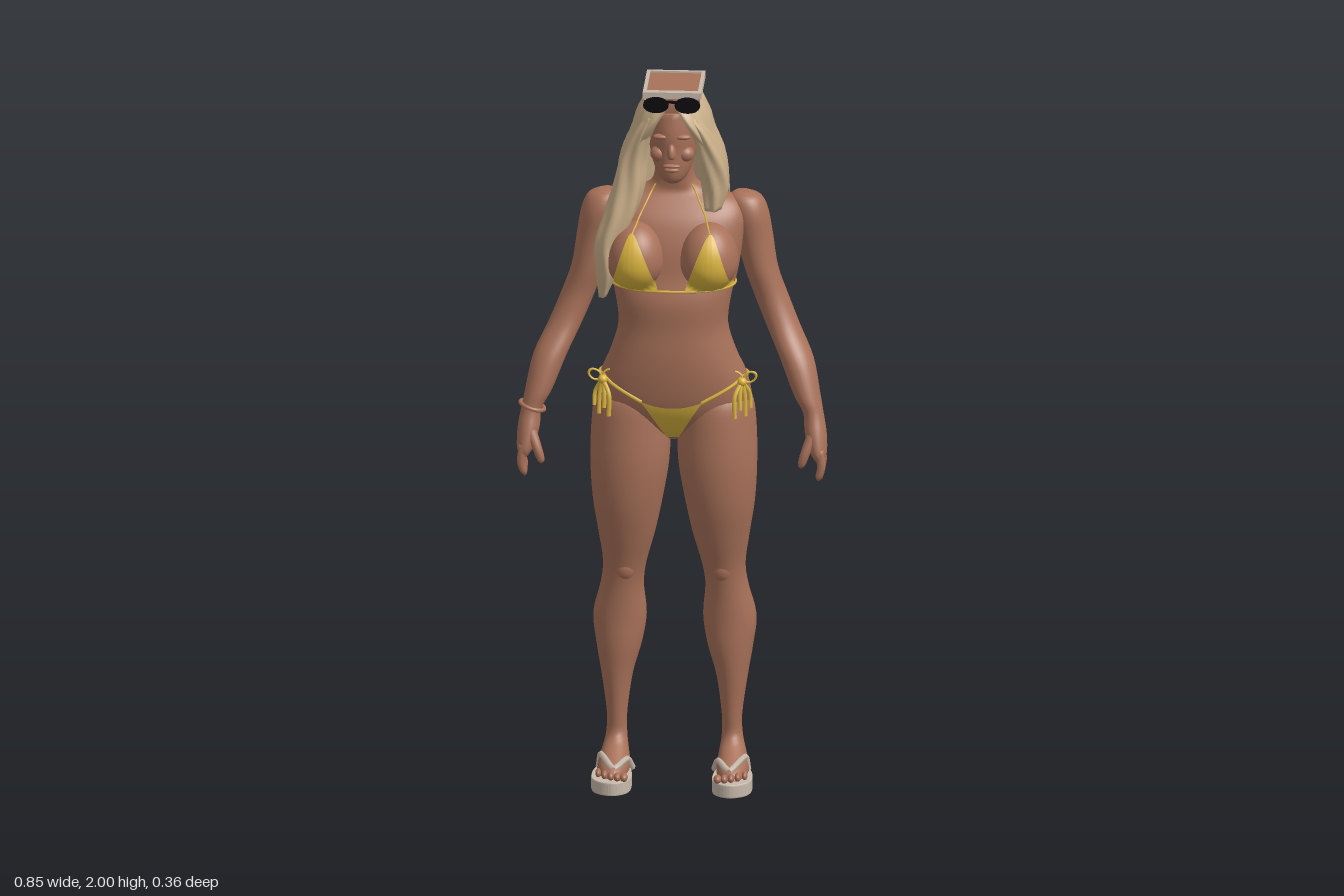
import * as THREE from 'three';

const V = (x, y, z) => new THREE.Vector3(x, y, z);
const mat = (name, color, side = THREE.FrontSide) => {
  const m = new THREE.MeshStandardMaterial({ color, side });
  m.name = name;
  return m;
};
const pw = (v, p) => Math.sign(v) * Math.abs(v) ** p;

// Skin over closed rings listed from bottom to top, with both ends closed
function skinRings(rows, n, point) {
  const pos = [], idx = [];
  for (let i = 0; i <= rows; i++)
    for (let j = 0; j < n; j++) pos.push(...point(i / rows, j));
  for (let i = 0; i < rows; i++)
    for (let j = 0; j < n; j++) {
      const a = i * n + j, b = i * n + (j + 1) % n;
      idx.push(a, b, b + n, a, b + n, a + n);
    }
  const top = rows * n;
  for (let j = 0; j < n / 2 - 1; j++) {
    const k = n - 1 - j;
    idx.push(j, k, j + 1, j + 1, k, k - 1);
    idx.push(top + j, top + j + 1, top + k, top + j + 1, top + k - 1, top + k);
  }
  const g = new THREE.BufferGeometry();
  g.setAttribute('position', new THREE.Float32BufferAttribute(pos, 3));
  g.setIndex(idx);
  g.computeVertexNormals();
  return g;
}

// Loft through horizontal sections [x, y, z, rx, rz]; p < 1 squares the section
function loft(sections, { n = 32, p = 1, ripple = 0, steps = 4 } = {}) {
  const s = sections[0][1] < sections.at(-1)[1] ? sections : [...sections].reverse();
  const path = new THREE.CatmullRomCurve3(s.map(q => V(q[0], q[1], q[2])), false, 'catmullrom');
  const size = new THREE.CatmullRomCurve3(s.map(q => V(q[3], q[4], 0)), false, 'catmullrom');
  return skinRings((s.length - 1) * steps, n, (t, j) => {
    const c = path.getPoint(t), r = size.getPoint(t), a = j / n * Math.PI * 2;
    const k = 1 + ripple * Math.sin(a * 5 + t * 9);
    return [c.x + r.x * k * pw(Math.sin(a), p), c.y, c.z + r.y * k * pw(Math.cos(a), p)];
  });
}

export function createModel() {
  const root = new THREE.Group();
  const skin = mat('skin', 0xa87159);
  const blonde = mat('blondeHair', 0xcbb08a, THREE.DoubleSide);
  const yellow = mat('yellowFabric', 0xd9b33e, THREE.DoubleSide);
  const pale = mat('paleSandal', 0xc8b9ab);
  const black = mat('blackLens', 0x0c0c0e);

  const add = (name, geo, m) => {
    const mesh = new THREE.Mesh(geo, m);
    mesh.name = name;
    root.add(mesh);
    return mesh;
  };
  const ball = (name, m, x, y, z, rx, ry, rz, up = 1) => {
    const g = new THREE.SphereGeometry(1, 32, 24), q = g.attributes.position;
    for (let i = 0; i < q.count; i++) if (q.getY(i) > 0) q.setY(i, q.getY(i) * up);
    g.scale(rx, ry, rz).translate(x, y, z);
    g.computeVertexNormals();
    return add(name, g, m);
  };
  const tube = (name, pts, r, m) =>
    add(name, new THREE.TubeGeometry(new THREE.CatmullRomCurve3(pts), pts.length * 4, r, 6), m);

  // Torso and neck: [y, front z, back z, half width]
  const trunk = [[0.98, 0.03, -0.05, 0.02], [1.01, 0.07, -0.085, 0.11], [1.05, 0.1, -0.1, 0.19],
    [1.1, 0.122, -0.11, 0.212], [1.17, 0.135, -0.1, 0.2], [1.24, 0.14, -0.075, 0.172],
    [1.32, 0.138, -0.06, 0.15], [1.4, 0.14, -0.068, 0.158], [1.47, 0.122, -0.088, 0.176],
    [1.55, 0.11, -0.1, 0.188], [1.62, 0.085, -0.1, 0.195], [1.665, 0.05, -0.085, 0.17],
    [1.69, 0.03, -0.07, 0.1], [1.72, 0.032, -0.06, 0.058], [1.8, 0.045, -0.055, 0.052]];
  const rings = list => list.map(([y, f, b, w]) => [0, y, (f + b) / 2, w, (f - b) / 2]);
  const body = [add('torso', loft(rings(trunk), { n: 48, p: 0.92 }), skin)];

  // Head, nose, lips, cheeks and brow
  add('head', loft(rings([[1.733, 0.085, 0.02, 0.02], [1.75, 0.113, -0.01, 0.038],
    [1.785, 0.121, -0.05, 0.055], [1.83, 0.12, -0.08, 0.066], [1.88, 0.122, -0.09, 0.071],
    [1.94, 0.112, -0.09, 0.073]])), skin);
  ball('nose', skin, 0, 1.828, 0.125, 0.013, 0.012, 0.02, 2.6);
  ball('upperLip', skin, 0, 1.795, 0.12, 0.024, 0.006, 0.009);
  ball('lowerLip', skin, 0, 1.783, 0.118, 0.02, 0.007, 0.01);
  for (const s of [1, -1]) {
    ball('cheek', skin, s * 0.036, 1.822, 0.09, 0.024, 0.022, 0.024);
    ball('brow', skin, s * 0.028, 1.876, 0.109, 0.024, 0.008, 0.013);
  }

  // Flat crown with a pale rim
  add('crown', loft([[0, 1.9, 0.008, 0.07, 0.085], [0, 1.95, 0.008, 0.073, 0.093],
    [0, 1.985, 0.003, 0.076, 0.094]], { n: 48, p: 0.4 }), skin);
  add('crownTop', new THREE.BoxGeometry(0.148, 0.012, 0.18).translate(0, 1.989, 0.002), skin);
  const rect = (C, x, z0, z1) => new C([[-x, z0], [x, z0], [x, z1], [-x, z1]].map(q => new THREE.Vector2(...q)));
  const rim = rect(THREE.Shape, 0.08, -0.102, 0.094);
  rim.holes.push(rect(THREE.Path, 0.07, -0.082, 0.084));
  add('crownRim', new THREE.ExtrudeGeometry(rim, { depth: 0.018, bevelEnabled: false })
    .rotateX(-Math.PI / 2).translate(0, 1.982, 0), pale);

  // Sunglasses on the front and the back of the crown
  for (const [z, name] of [[0.114, 'frontSunglasses'], [-0.1, 'backSunglasses']]) {
    for (const s of [1, -1])
      add(name + 'Lens', new THREE.CylinderGeometry(1, 1, 0.009, 24).rotateX(Math.PI / 2)
        .scale(0.035, 0.022, 1).translate(s * 0.043, 1.968, z), black);
    add(name + 'Bar', new THREE.BoxGeometry(0.15, 0.006, 0.008).translate(0, 1.977, z), black);
  }

  // Hair shell, open around the face: [y, z, half width, depth, half opening angle]
  const hair = [[1.43, -0.1, 0.12, 0.062, 1.85], [1.5, -0.083, 0.142, 0.09, 1.75],
    [1.62, -0.07, 0.152, 0.11, 1.55], [1.72, -0.04, 0.152, 0.137, 1.25], [1.8, -0.015, 0.14, 0.152, 1],
    [1.87, 0, 0.114, 0.15, 0.72], [1.92, 0.004, 0.1, 0.128, 0.4], [1.962, 0.005, 0.08, 0.104, 0.12]];
  const hairA = new THREE.CatmullRomCurve3(hair.map(h => V(h[0], h[1], h[2])), false, 'catmullrom');
  const hairB = new THREE.CatmullRomCurve3(hair.map(h => V(h[3], h[4], 0)), false, 'catmullrom');
  const half = 56;
  add('backHair', skinRings(42, half * 2, (t, j) => {
    const a = hairA.getPoint(t), b = hairB.getPoint(t), inner = j >= half;
    const u = (inner ? half * 2 - 1 - j : j) / (half - 1);
    const ang = b.y + u * (Math.PI * 2 - 2 * b.y);
    const k = inner ? 0.72 : 1 + 0.014 * Math.sin(ang * 17 + t * 5);
    return [-0.008 * (1 - t) + a.z * k * Math.sin(ang), a.x, a.y + b.x * k * Math.cos(ang)];
  }), blonde);

  // Wavy locks beside the face; the right one falls over the chest
  const wavy = { n: 40, ripple: 0.1, steps: 6 };
  add('rightLock', loft([[-0.055, 1.925, 0.085, 0.015, 0.02], [-0.08, 1.88, 0.075, 0.022, 0.03],
    [-0.107, 1.8, 0.055, 0.036, 0.045], [-0.12, 1.72, 0.06, 0.042, 0.048], [-0.143, 1.64, 0.075, 0.042, 0.046],
    [-0.175, 1.56, 0.085, 0.034, 0.042], [-0.18, 1.48, 0.08, 0.028, 0.038],
    [-0.192, 1.4, 0.07, 0.01, 0.014]], wavy), blonde);
  add('leftLock', loft([[0.055, 1.925, 0.085, 0.015, 0.02], [0.08, 1.88, 0.075, 0.022, 0.03],
    [0.104, 1.8, 0.05, 0.034, 0.045], [0.115, 1.72, 0.035, 0.036, 0.045],
    [0.108, 1.65, 0.045, 0.022, 0.03]], wavy), blonde);

  // Limbs, built for the left and mirrored
  const arm = [[0.185, 1.678, -0.035, 0.02, 0.02], [0.193, 1.662, -0.035, 0.045, 0.045],
    [0.204, 1.62, -0.037, 0.052, 0.06], [0.217, 1.55, -0.04, 0.051, 0.06], [0.236, 1.46, -0.036, 0.046, 0.056],
    [0.264, 1.38, -0.034, 0.046, 0.052], [0.298, 1.3, -0.014, 0.046, 0.051], [0.337, 1.22, 0.026, 0.046, 0.055],
    [0.366, 1.13, 0.06, 0.037, 0.047], [0.385, 1.08, 0.077, 0.028, 0.036], [0.392, 1.03, 0.09, 0.03, 0.042],
    [0.4, 0.98, 0.1, 0.024, 0.044], [0.404, 0.955, 0.102, 0.014, 0.036]];
  const leg = [[0.1, 1.14, 0.01, 0.06, 0.07], [0.112, 1.1, 0.005, 0.1, 0.1], [0.117, 1.03, 0.003, 0.108, 0.112],
    [0.12, 0.92, 0.018, 0.108, 0.102], [0.126, 0.81, 0.015, 0.096, 0.095], [0.129, 0.71, 0.008, 0.078, 0.077],
    [0.135, 0.62, -0.004, 0.06, 0.062], [0.143, 0.55, -0.02, 0.059, 0.065], [0.15, 0.46, -0.033, 0.073, 0.072],
    [0.152, 0.38, -0.028, 0.063, 0.066], [0.157, 0.29, -0.022, 0.043, 0.052], [0.157, 0.18, -0.015, 0.028, 0.035],
    [0.158, 0.12, -0.015, 0.029, 0.038], [0.16, 0.085, 0.01, 0.036, 0.068], [0.162, 0.058, 0.036, 0.043, 0.1],
    [0.163, 0.035, 0.042, 0.045, 0.112]];
  const soleOutline = [[0, 0.082], [-0.034, 0.06], [-0.037, 0], [-0.05, -0.09], [-0.042, -0.155],
    [0, -0.182], [0.046, -0.155], [0.056, -0.09], [0.04, 0], [0.036, 0.06]];
  const feet = [];
  for (const s of [1, -1]) {
    const mir = list => list.map(([x, ...r]) => [x * s, ...r]);
    add('arm', loft(mir(arm)), skin);
    for (let k = 0; k < 4; k++) {
      const z = 0.07 + k * 0.02, low = 0.893 + Math.abs(k - 1.6) * 0.008;
      add('finger', loft(mir([[0.404, 0.99, z, 0.013, 0.012], [0.41, 0.945, z + 0.003, 0.012, 0.011],
        [0.404, low + 0.012, z + 0.004, 0.01, 0.009], [0.401, low, z + 0.004, 0.003, 0.003]], ), { n: 10 }), skin);
    }
    add('thumb', loft(mir([[0.388, 1.035, 0.11, 0.016, 0.018], [0.368, 0.985, 0.13, 0.014, 0.014],
      [0.357, 0.95, 0.133, 0.011, 0.011], [0.355, 0.938, 0.133, 0.003, 0.003]]), { n: 12 }), skin);

    const l = add('legAndFoot', loft(mir(leg)), skin);
    body.push(l);
    feet.push(l);
    body.push(ball('buttock', skin, s * 0.094, 1.085, -0.052, 0.094, 0.09, 0.086, 1.15));
    body.push(ball('breast', skin, s * 0.1, 1.515, 0.085, 0.081, 0.082, 0.09, 1.3));
    ball('knee', skin, s * 0.134, 0.61, 0.02, 0.036, 0.045, 0.038);
    for (let k = 0; k < 5; k++)
      ball('toe', skin, s * (0.128 + k * 0.018), 0.047, 0.158 - k * k * 0.0022, 0.011 - k * 0.0008, 0.012, 0.017);

    // Sandal sole
    const outline = new THREE.SplineCurve([...soleOutline, soleOutline[0]].map(q => new THREE.Vector2(q[0] * s, q[1])));
    add('sandalSole', new THREE.ExtrudeGeometry(new THREE.Shape(outline.getPoints(60).slice(0, -1)),
      { depth: 0.03, bevelThickness: 0.004, bevelSize: 0.002, bevelSegments: 2 })
      .rotateX(-Math.PI / 2).translate(s * 0.162, 0.004, 0), pale);
  }
  const wrist = new THREE.TorusGeometry(0.034, 0.006, 8, 28).rotateX(Math.PI / 2).rotateZ(-0.3);
  add('bracelet', wrist.translate(-0.383, 1.085, 0.076), skin);

  // Cloth is laid on the body by casting rays onto it
  const ray = new THREE.Raycaster();
  const cast = (from, dir, targets, lift) => {
    ray.set(from, dir.normalize());
    const hit = ray.intersectObjects(targets)[0];
    return hit ? hit.point.addScaledVector(dir, -lift) : null;
  };
  const around = (a, y, lift = 0.002) =>
    cast(V(Math.sin(a), y, Math.cos(a)), V(-Math.sin(a), 0, -Math.cos(a)), body, lift);
  const patch = (name, side, xy, nu = 20, nv = 20) => {
    const g = new THREE.PlaneGeometry(1, 1, nu, nv), q = g.attributes.position;
    let last = V(0, 0, side * 0.1);
    for (let i = 0; i < q.count; i++) {
      const [x, y] = xy(q.getX(i) + 0.5, 0.5 - q.getY(i));
      last = cast(V(x, y, side), V(0, 0, -side), body, 0.006) ?? V(x, y, last.z);
      q.setXYZ(i, x, y, last.z);
    }
    g.computeVertexNormals();
    add(name, g, yellow);
  };
  const { lerp } = THREE.MathUtils;

  for (const s of [1, -1]) {
    // Bikini cup and neck strap
    patch('bikiniCup', 1, (u, v) => {
      const w = v ** 0.75;
      return [s * lerp(lerp(0.104, 0.036, w), lerp(0.112, 0.168, w), u), lerp(1.605, 1.438, v)];
    });
    const strap = [];
    for (let i = 0; i <= 6; i++) {
      const p = cast(V(s * lerp(0.108, 0.05, i / 6), lerp(1.6, 1.71, i / 6), 1), V(0, 0, -1), body, 0.001);
      if (p) strap.push(p);
    }
    tube('neckStrap', strap, 0.0025, yellow);

    // Hip bow with loops and hanging tails
    for (const k of [-1, 1])
      add('bowLoop', new THREE.TorusGeometry(0.018, 0.004, 6, 20).scale(1, 0.75, 1)
        .rotateZ(k * 0.6).translate(s * 0.193 + k * 0.019, 1.178, 0.076), yellow);
    ball('bowKnot', yellow, s * 0.19, 1.165, 0.08, 0.013, 0.013, 0.013);
    for (let k = 0; k < 4; k++)
      tube('bowTail', [V(s * 0.19, 1.165, 0.08), V(s * (0.172 + k * 0.013), 1.13, 0.105 - k * 0.012),
        V(s * (0.172 + k * 0.014), 1.07 + (k % 2) * 0.02, 0.112 - k * 0.012)], 0.006, yellow);

    // Sandal straps from between the toes to both sides of the foot
    for (const k of [-1, 1]) {
      const pts = [];
      for (let i = 0; i <= 6; i++) {
        const t = i / 6, x = s * 0.158 + k * 0.04 * t ** 0.7;
        const p = cast(V(x, 0.13, lerp(0.132, 0.045, t)), V(0, -1, 0), feet, 0.001);
        if (p) pts.push(p);
      }
      pts.push(V(s * 0.158 + k * 0.046, 0.035, 0.035));
      tube('sandalStrap', pts, 0.009, pale);
    }
  }

  // Chest band, hip string, and the front and back of the bikini bottom
  const loop = (name, yAt, from, to, r) => {
    const pts = [];
    for (let i = 0; i <= 48; i++) {
      const a = lerp(from, to, i / 48), p = around(a, yAt(a));
      if (p) pts.push(p);
    }
    tube(name, pts, r, yellow);
  };
  loop('chestBand', () => 1.437, 0, Math.PI * 2, 0.004);
  const hipY = a => {
    const d = Math.abs(a);
    return d < 1.25 ? lerp(1.115, 1.175, (d - 0.6) / 0.65) : lerp(1.175, 1.135, (d - 1.25) / 1.89);
  };
  loop('leftHipString', hipY, 0.6, Math.PI, 0.005);
  loop('rightHipString', hipY, -0.6, -Math.PI, 0.005);
  patch('bikiniFront', 1, (u, v) => {
    const c = u * 2 - 1;
    return [c * lerp(0.09, 0.016, v ** 0.8), 1.1 + 0.02 * c * c * (1 - v) - 0.105 * v];
  });
  patch('bikiniBack', -1, (u, v) => [(u * 2 - 1) * lerp(0.03, 0.004, v), lerp(1.14, 1.09, v)], 8, 8);
  return root;
}
